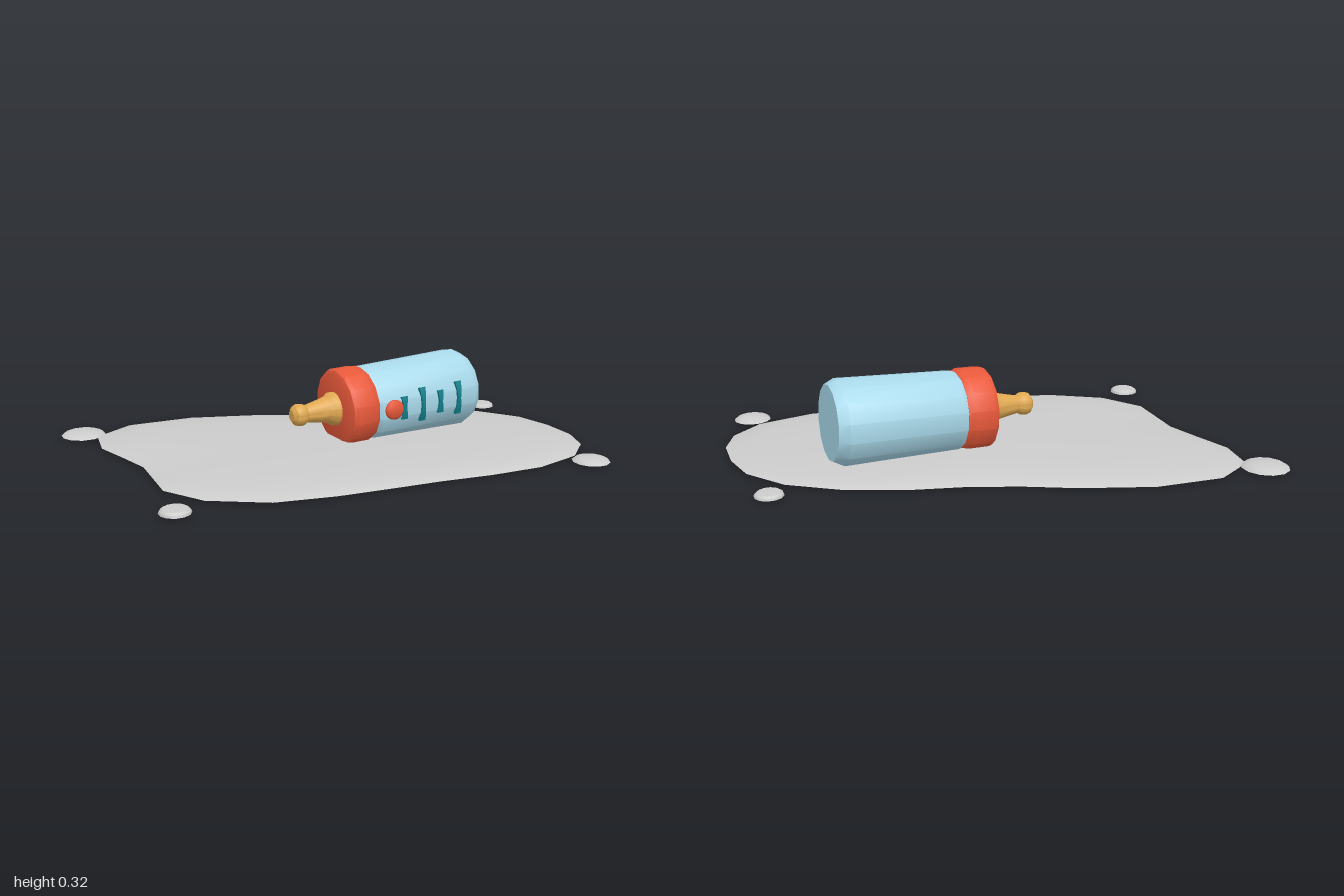
import * as THREE from 'three';
import { toCreasedNormals } from 'three/addons/utils/BufferGeometryUtils.js';

const V2 = (p) => new THREE.Vector2(p[0], p[1]);
const V3 = (x, y, z) => new THREE.Vector3(x, y, z);

const mat = (color) => new THREE.MeshStandardMaterial({ color });
const grey = mat(0xcccccc);
const blue = mat(0xa9d9ea);
const orange = mat(0xe8593a);
const tan = mat(0xe0a952);
const teal = mat(0x12808c);

function add(parent, name, geometry, material) {
  const mesh = new THREE.Mesh(geometry, material);
  mesh.name = name;
  parent.add(mesh);
  return mesh;
}

// profile is a list of [radius, height], rising
const turned = (profile, sides) =>
  toCreasedNormals(new THREE.LatheGeometry(profile.map(V2), sides), 0.5);

// Shallow dome over a freeform outline, with a flat underside
function puddleGeometry() {
  const outline = [
    [-.50, -.56], [-.24, -.55], [-.05, -.52], [.14, -.51], [.32, -.52], [.54, -.50], [.73, -.44],
    [.87, -.33], [.94, -.20], [.98, -.06], [.97, .07], [.89, .20], [.72, .30], [.52, .35],
    [.33, .38], [.14, .42], [-.06, .46], [-.28, .48], [-.50, .42], [-.63, .30], [-.66, .17],
    [-.69, .04], [-.76, -.08], [-.84, -.21], [-.86, -.37], [-.74, -.50],
  ];
  const rings = [[0, .015], [1, .015], [.97, .022], [.88, .031], [.65, .039], [.35, .043], [0, .044]];
  const n = outline.length, cx = 0.02, cz = -0.06;
  const pos = [], index = [];
  for (const [k, y] of rings)
    for (const [x, z] of outline) pos.push(cx + (x - cx) * k, y, cz + (z - cz) * k);
  for (let r = 0; r < rings.length - 1; r++)
    for (let i = 0; i < n; i++) {
      const j = (i + 1) % n, a = r * n + i, b = r * n + j, c = a + n, d = b + n;
      if (rings[r][0] > 0) index.push(a, c, b);
      if (rings[r + 1][0] > 0) index.push(b, c, d);
    }
  const g = new THREE.BufferGeometry();
  g.setAttribute('position', new THREE.Float32BufferAttribute(pos, 3));
  g.setIndex(index);
  return toCreasedNormals(g, 0.7);
}

// Bow-tie shaped bar wrapped around the bottle wall
function markGeometry(length, radius) {
  const g = new THREE.BoxGeometry(0.012, 0.028, length, 1, 1, 6);
  const p = g.attributes.position;
  for (let i = 0; i < p.count; i++) {
    const z = p.getZ(i), a = z / radius, r = radius + p.getX(i);
    const pinch = 0.45 + 0.55 * Math.abs(z) / (length / 2);
    p.setXYZ(i, r * Math.cos(a), p.getY(i) * pinch, r * Math.sin(a));
  }
  return toCreasedNormals(g, 0.5);
}

function createBottle() {
  const bottle = new THREE.Group();
  bottle.name = 'bottle';

  // Local y runs from nipple tip to bottle base, local x faces the front
  add(bottle, 'nipple', turned([
    [0, 0], [.022, 0], [.038, .012], [.043, .028], [.041, .045], [.033, .058], [.036, .075],
    [.043, .11], [.051, .145], [.064, .165], [.066, .195], [0, .195],
  ], 14), tan);
  add(bottle, 'collar', turned([
    [0, .183], [.128, .183], [.146, .19], [.153, .205], [.153, .278], [.142, .302], [0, .302],
  ], 14), orange);
  add(bottle, 'body', turned([
    [0, .28], [.13, .28], [.147, .315], [.154, .729], [.135, .766], [0, .766],
  ], 14), blue);

  // Measuring marks, alternately short and long
  [.407, .491, .57, .655].forEach((s, i) => {
    const radius = 0.1475 + 0.017 * (s - 0.315);
    add(bottle, 'measuringMark', markGeometry(i % 2 ? 0.132 : 0.088, radius), teal).position.y = s;
  });

  // Round button on the front
  const button = add(bottle, 'button', new THREE.SphereGeometry(0.04, 10, 8), orange);
  button.scale.x = 0.45;
  button.position.set(0.147, 0.362, 0);

  const axis = V3(.725, .024, -.247).normalize();
  const side = axis.clone().cross(V3(0, 1, 0)).normalize();
  const up = side.clone().cross(axis);
  bottle.quaternion.setFromRotationMatrix(new THREE.Matrix4().makeBasis(side, axis, up));
  bottle.position.set(-.137, .153, -.043);
  return bottle;
}

export function createModel() {
  const model = new THREE.Group();
  model.name = 'spilledBottle';

  add(model, 'puddle', puddleGeometry(), grey);

  // Stray drops: x, z, radius, height
  const drops = [[-.915, -.41, .085, .018], [.925, .265, .07, .018], [.77, -.53, .05, .016], [-.60, .51, .055, .018]];
  for (const [x, z, r, h] of drops) {
    const profile = r > 0.06
      ? [[0, 0], [r, 0], [r * .85, h * .5], [r * .55, h * .88], [0, h]]
      : [[0, 0], [r, 0], [r * .95, h * .45], [r * .78, h * .85], [0, h]];
    add(model, 'drop', turned(profile, 12), grey).position.set(x, .015, z);
  }

  model.add(createBottle());
  return model;
}
